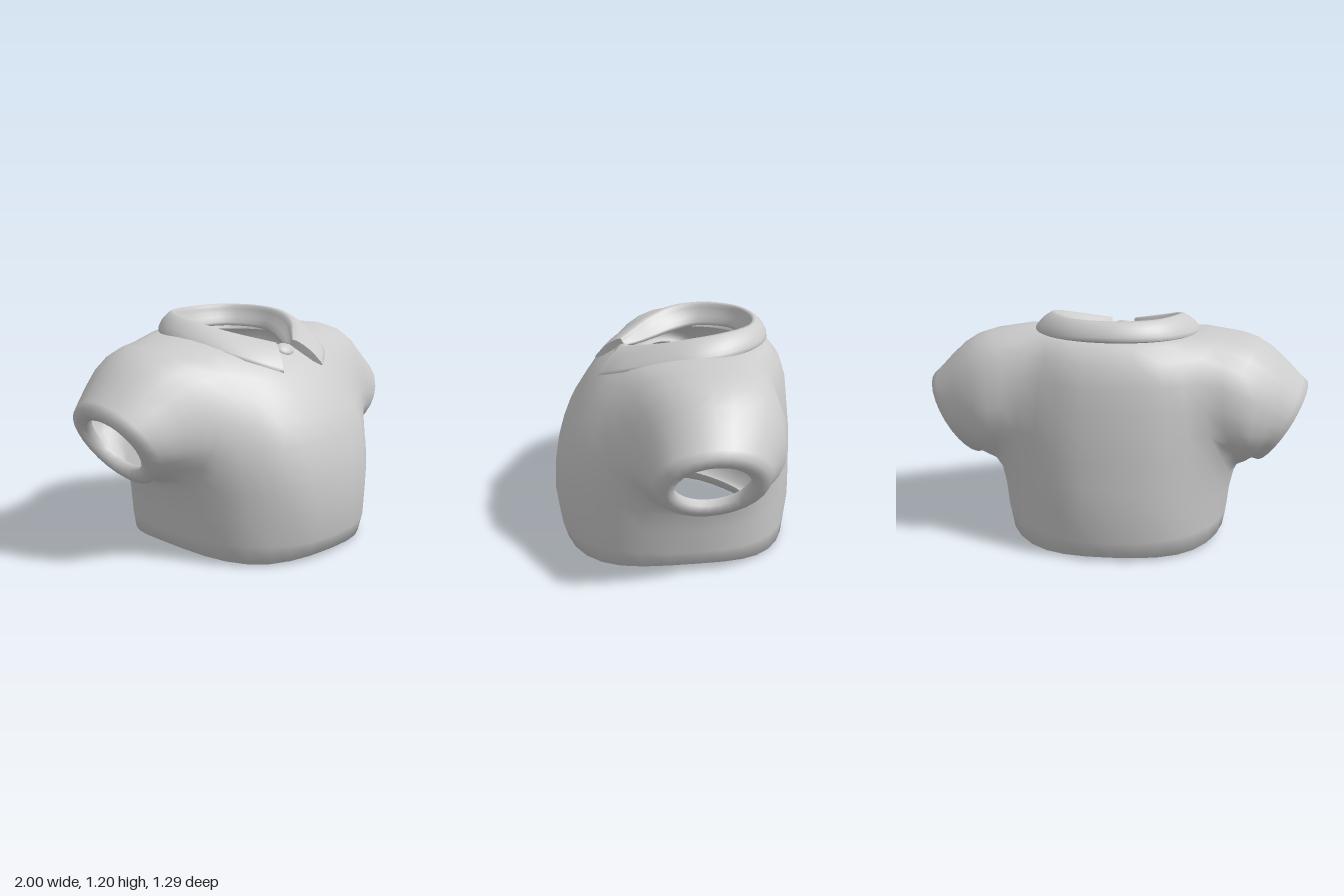
import * as THREE from 'three';

const material = new THREE.MeshStandardMaterial({ color: 0xcccccc, side: THREE.DoubleSide });

function makeMesh(name, points, index) {
  const geometry = new THREE.BufferGeometry().setFromPoints(points);
  geometry.setIndex(index);
  geometry.computeVertexNormals();
  const mesh = new THREE.Mesh(geometry, material);
  mesh.name = name;
  return mesh;
}

const quad = (index, a, b, c, d) => index.push(a, b, c, a, c, d);

// Torso with open armholes; both sleeves grow from the armhole edges
function createBody() {
  const N = 32, zMid = -0.08;
  // half width, front z, back z, then height at front, side and back
  const rows = [
    [0.42, 0.42, -0.44, 0.10, 0.11, 0.10],
    [0.45, 0.45, -0.47, 0.035, 0.05, 0.035],
    [0.53, 0.53, -0.56, 0.01, 0.035, 0.015],
    [0.585, 0.60, -0.62, 0.02, 0.045, 0.02],
    [0.60, 0.625, -0.63, 0.10, 0.12, 0.10],
    [0.62, 0.645, -0.645, 0.25, 0.26, 0.25],
    [0.65, 0.64, -0.64, 0.40, 0.39, 0.40],
    [0.66, 0.62, -0.635, 0.51, 0.48, 0.52],
    [0.67, 0.59, -0.63, 0.61, 0.62, 0.64],
    [0.66, 0.55, -0.615, 0.71, 0.78, 0.77],
    [0.64, 0.48, -0.60, 0.82, 0.96, 0.90],
    [0.60, 0.42, -0.565, 0.90, 1.09, 1.01],
    [0.48, 0.36, -0.51, 0.965, 1.105, 1.08],
    [0.39, 0.30, -0.46, 1.01, 1.105, 1.10],
    [0.31, 0.25, -0.425, 1.05, 1.10, 1.10],
    [0.30, 0.23, -0.41, 1.03, 1.06, 1.06],
  ];
  const points = [], index = [], neighbours = [];
  const id = (r, c) => r * N + ((c + N) % N);
  const face = (...corners) => {
    quad(index, ...corners);
    corners.forEach((a, i) => {
      const b = corners[(i + 1) % 4];
      (neighbours[a] ??= new Set()).add(b);
      (neighbours[b] ??= new Set()).add(a);
    });
  };
  const box = (v, power) => Math.sign(v) * Math.abs(v) ** power;
  rows.forEach(([a, zf, zb, yf, ys, yb], r) => {
    const square = r < 10 ? 0.84 : 0.92;
    const dip = r < 4 ? 0.022 : 0;
    for (let c = 0; c < N; c++) {
      const t = c / N * Math.PI * 2, co = Math.cos(t), s = Math.sin(t);
      const power = s > 0 ? square : 0.94;
      points.push(new THREE.Vector3(
        a * box(co, power),
        ys + ((s > 0 ? yf : yb) - ys) * Math.abs(s) ** 1.6 - dip * Math.sin(2 * t) ** 2,
        zMid + (s > 0 ? zf - zMid : zMid - zb) * box(s, power)));
    }
  });

  // Torso faces, leaving a rounded armhole on each side
  const low = 6, widths = [2, 3, 4, 4, 4], high = low + widths.length;
  for (let r = 0; r < rows.length - 1; r++) {
    for (let c = 0; c < N; c++) {
      const fromSide = Math.abs(((c + 0.5 + N / 4) % (N / 2)) - N / 4);
      if (fromSide < (widths[r - low] ?? 0)) continue;
      face(id(r, c), id(r + 1, c), id(r + 1, c + 1), id(r, c + 1));
    }
  }

  // Armhole edge from its lowest point round to its highest, then mirrored
  const half = [];
  widths.forEach((w, i) => {
    for (let j = i ? widths[i - 1] : 0; j <= w; j++) half.push([low + i, j]);
  });
  for (let j = widths.at(-1); j >= 0; j--) half.push([high, j]);
  const loop = [...half, ...half.slice(1, -1).reverse().map(([r, j]) => [r, -j])];

  // Sleeve opening: tilted oval; height radius, depth radius, offset outward
  const cuff = (side, phi, [rh, rz, off]) => new THREE.Vector3(
    side * (0.87 + 0.526 * rh * Math.sin(phi) + 0.85 * off),
    0.61 + 0.85 * rh * Math.sin(phi) - 0.526 * off,
    zMid + rz * Math.cos(phi));
  const rim = [
    [0.258, 0.295, -0.04], [0.25, 0.27, 0], [0.207, 0.225, 0.012],
    [0.165, 0.185, -0.005], [0.175, 0.19, -0.05],
  ];
  const free = new Set();
  for (const [side, mid] of [[1, 0], [-1, N / 2]]) {
    const edge = loop.map(([r, j]) => id(r, mid + j));
    const phis = edge.map((e, i) => -Math.PI / 2 + side * i / edge.length * Math.PI * 2);
    const rings = [0.2, 0.4, 0.6, 0.8].map((t) => phis.map((phi, i) => {
      const p = points[edge[i]].clone().lerp(cuff(side, phi, rim[0]), t);
      const bulge = Math.sin(Math.PI * t) ** 0.8, depth = Math.cos(phi);
      p.y += 0.075 * bulge * Math.max(Math.sin(phi), 0);
      p.z += bulge * depth * (depth > 0 ? -0.01 : 0.08);
      return p;
    }));
    const softRings = rings.length;
    for (const shape of rim) rings.push(phis.map((phi) => cuff(side, phi, shape)));
    let previous = edge;
    rings.forEach((ring, k) => {
      const current = ring.map((p) => points.push(p) - 1);
      if (k < softRings) current.forEach((v) => free.add(v));
      for (let i = 0; i < edge.length; i++) {
        const n = (i + 1) % edge.length;
        face(previous[n], previous[i], current[i], current[n]);
      }
      previous = current;
    });
    for (let r = low - 1; r <= high; r++) {
      for (let j = -5; j <= 5; j++) {
        if (neighbours[id(r, mid + j)]) free.add(id(r, mid + j));
      }
    }
  }

  // Soften the sleeve joins, alternating shrink and swell to keep the volume
  for (let pass = 0; pass < 16; pass++) {
    const amount = pass % 2 ? -0.45 : 0.6;
    const moved = [...free].map((v) => {
      const mean = new THREE.Vector3();
      for (const n of neighbours[v]) mean.add(points[n]);
      return [v, points[v].clone().lerp(mean.divideScalar(neighbours[v].size), amount)];
    });
    for (const [v, p] of moved) points[v].copy(p);
  }
  return makeMesh('shirtBody', points, index);
}

// Folded collar: a rounded section swept between three guide curves
function createCollar() {
  const guide = (list) => {
    const right = list.map(([x, y, z]) => new THREE.Vector3(x, y, z));
    const left = right.slice(1).reverse().map((p) => new THREE.Vector3(-p.x, p.y, p.z));
    return new THREE.CatmullRomCurve3([...left, ...right]);
  };
  const outer = guide([[0, 1.115, -0.505], [0.24, 1.11, -0.44], [0.4, 1.10, -0.25],
    [0.435, 1.085, -0.06], [0.38, 1.05, 0.14], [0.27, 0.995, 0.31], [0.15, 0.945, 0.4]]);
  const ridge = guide([[0, 1.2, -0.435], [0.2, 1.2, -0.375], [0.31, 1.195, -0.21],
    [0.32, 1.175, -0.05], [0.26, 1.14, 0.08], [0.16, 1.105, 0.18], [0.065, 1.075, 0.265]]);
  const inner = guide([[0, 1.08, -0.39], [0.18, 1.08, -0.34], [0.275, 1.07, -0.18],
    [0.24, 1.055, -0.05], [0.165, 1.04, 0.07], [0.095, 1.035, 0.165], [0.055, 1.035, 0.24]]);
  const steps = 48, sides = 18, points = [], index = [];
  for (let i = 0; i <= steps; i++) {
    const t = i / steps;
    const o = outer.getPoint(t), r = ridge.getPoint(t), n = inner.getPoint(t);
    const out = o.clone().sub(n).setY(0).normalize();
    const shift = (p, away, up) => {
      p.addScaledVector(out, away).y += up;
      return p;
    };
    const section = new THREE.CatmullRomCurve3([
      n, n.clone().lerp(r, 0.6), r,
      shift(r.clone().lerp(o, 0.5), 0.01, 0.015), o,
      shift(o.clone().lerp(n, 0.25), 0, -0.005),
    ], true);
    for (let k = 0; k < sides; k++) points.push(section.getPoint(k / sides));
  }
  for (let i = 0; i < steps; i++) {
    for (let k = 0; k < sides; k++) {
      const a = i * sides, b = a + sides, n = (k + 1) % sides;
      quad(index, a + k, a + n, b + n, b + k);
    }
  }
  // Flat collar ends
  for (const i of [0, steps]) {
    const ring = points.slice(i * sides, (i + 1) * sides);
    const center = ring.reduce((sum, p) => sum.add(p), new THREE.Vector3()).divideScalar(sides);
    const first = points.length;
    points.push(center, ...ring);
    for (let k = 0; k < sides; k++) {
      const a = first + 1 + k, b = first + 1 + (k + 1) % sides;
      if (i === 0) index.push(first, b, a);
      else index.push(first, a, b);
    }
  }
  return makeMesh('collar', points, index);
}

// Small fold of cloth in the collar gap
function createThroatFold() {
  const fold = new THREE.Mesh(new THREE.SphereGeometry(1, 16, 10), material);
  fold.scale.set(0.055, 0.025, 0.045);
  fold.position.set(0, 1.03, 0.265);
  fold.rotation.x = 0.6;
  fold.name = 'throatFold';
  return fold;
}

export function createModel() {
  const group = new THREE.Group();
  group.name = 'shirt';
  group.add(createBody(), createCollar(), createThroatFold());
  return group;
}
